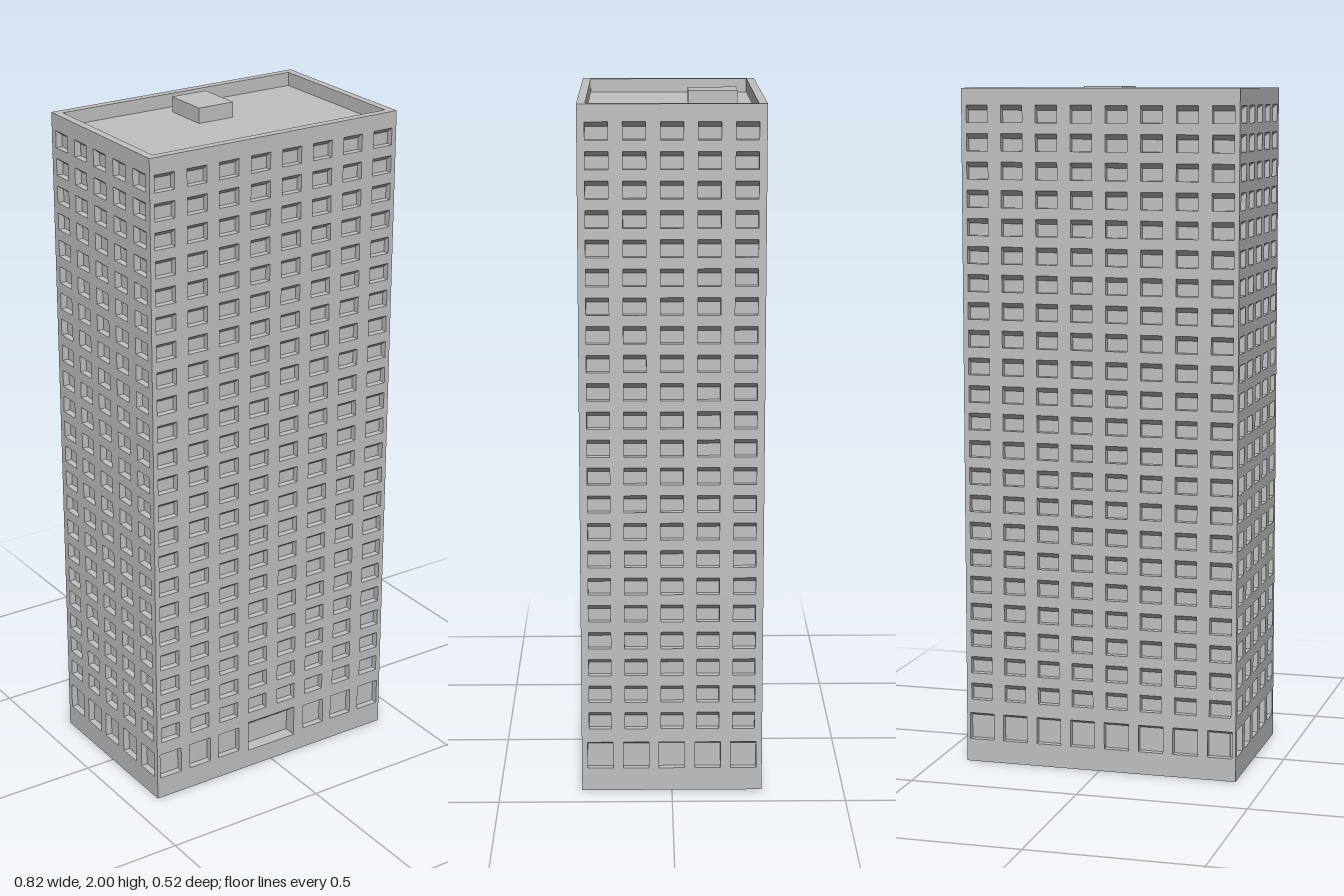
import * as THREE from 'three';
import { mergeGeometries } from 'three/addons/utils/BufferGeometryUtils.js';

const HALF_W = 0.411, HALF_D = 0.262; // footprint
const ROOF = 1.955, TOP = 1.995;      // roof deck and parapet top
const PITCH = 0.104;                  // window spacing across

// Rectangular outline, as a Shape or as a Path for holes
function rect(Type, l, b, r, t) {
  const s = new Type();
  s.moveTo(l, b);
  s.lineTo(r, b);
  s.lineTo(r, t);
  s.lineTo(l, t);
  s.closePath();
  return s;
}

// Recess behind an opening: straight jambs, flat sill, ceiling sloping down to the pane
function recess({ l, b, r, t, drop, depth }) {
  const o = [[l, b, 0], [r, b, 0], [r, t, 0], [l, t, 0]];
  const n = [[l, b, -depth], [r, b, -depth], [r, t - drop, -depth], [l, t - drop, -depth]];
  const pos = [];
  const quad = (p, q, u, v) => pos.push(...p, ...q, ...u, ...p, ...u, ...v);
  quad(n[0], n[1], n[2], n[3]);
  for (let i = 0; i < 4; i++) {
    const j = (i + 1) % 4;
    quad(o[i], o[j], n[j], n[i]);
  }
  const g = new THREE.BufferGeometry();
  g.setAttribute('position', new THREE.Float32BufferAttribute(pos, 3));
  g.computeVertexNormals();
  return g;
}

// All openings of one facade
function openings(columns, hasEntrance) {
  const list = [];
  for (let c = 0; c < columns; c++) {
    const x = (c - (columns - 1) / 2) * PITCH;
    for (let row = 0; row < 22; row++) {
      const t = 0.239 + row * 0.0813;
      list.push({ l: x - 0.032, r: x + 0.032, b: t - 0.05, t, drop: 0.015, depth: 0.02 });
    }
    if (hasEntrance && Math.abs(x) < 0.1) continue;
    list.push({ l: x - 0.037, r: x + 0.037, b: 0.068, t: 0.148, drop: 0.01, depth: 0.02 });
  }
  if (hasEntrance) {
    list.push({ l: -0.084, r: 0.084, b: 0.057, t: 0.155, drop: 0.032, depth: 0.04 });
  }
  return list;
}

export function createModel() {
  const group = new THREE.Group();
  const concrete = new THREE.MeshStandardMaterial({ color: 0xc0c0c0 });
  concrete.name = 'concrete grey';

  const add = (name, geometry, parent = group) => {
    const mesh = new THREE.Mesh(geometry, concrete);
    mesh.name = name;
    parent.add(mesh);
    return mesh;
  };

  // Four facades: pierced wall plus window recesses
  function facade(name, half, distance, columns, angle, hasEntrance = false) {
    const side = new THREE.Group();
    side.name = name;
    const list = openings(columns, hasEntrance);
    const wall = rect(THREE.Shape, -half, 0, half, ROOF);
    wall.holes = list.map((w) => rect(THREE.Path, w.l, w.b, w.r, w.t));
    add(name + 'Wall', new THREE.ShapeGeometry(wall), side).position.z = distance;
    add(name + 'Windows', mergeGeometries(list.map(recess)), side).position.z = distance;
    side.rotation.y = angle;
    group.add(side);
  }
  facade('front', HALF_W, HALF_D, 8, 0, true);
  facade('back', HALF_W, HALF_D, 8, Math.PI);
  facade('left', HALF_D, HALF_W, 5, Math.PI / 2);
  facade('right', HALF_D, HALF_W, 5, -Math.PI / 2);

  // Roof deck and underside
  const slab = new THREE.PlaneGeometry(HALF_W * 2, HALF_D * 2);
  const deck = add('roofDeck', slab);
  deck.rotation.x = -Math.PI / 2;
  deck.position.y = ROOF;
  add('underside', slab).rotation.x = Math.PI / 2;

  // Parapet ring around the roof
  const ring = rect(THREE.Shape, -HALF_W, -HALF_D, HALF_W, HALF_D);
  ring.holes.push(rect(THREE.Path, -0.387, -0.238, 0.387, 0.238));
  const parapet = add('parapet', new THREE.ExtrudeGeometry(ring, { depth: TOP - ROOF, bevelEnabled: false }));
  parapet.rotation.x = -Math.PI / 2;
  parapet.position.y = ROOF;

  // Rooftop plant room
  const plant = add('plantRoom', new THREE.BoxGeometry(0.115, 2 - ROOF, 0.142));
  plant.position.set(0.006, (2 + ROOF) / 2, -0.122);

  return group;
}
